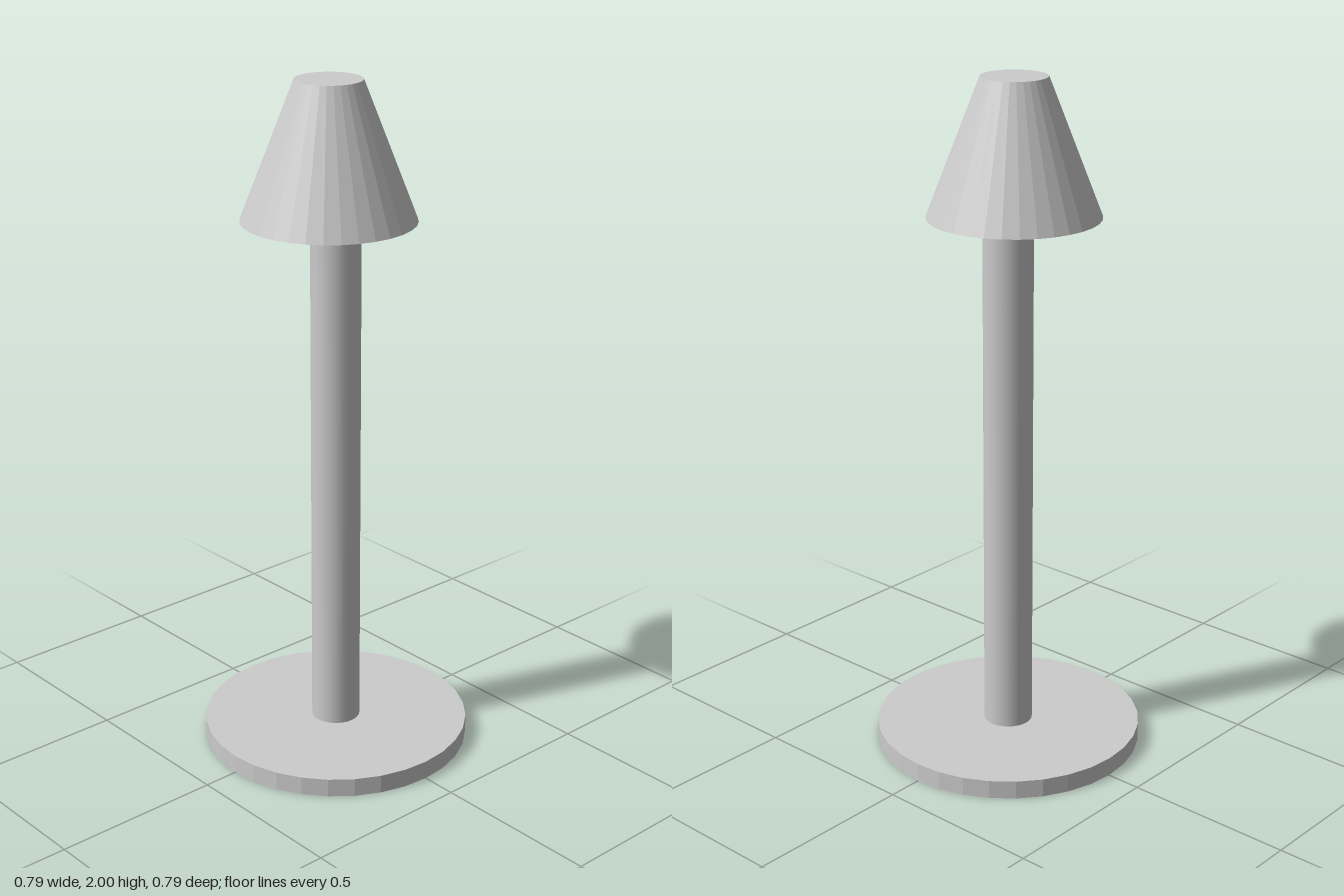
import * as THREE from 'three';

export function createModel() {
  const model = new THREE.Group();
  model.name = 'lamp';
  const sides = 32;
  const baseHeight = 0.055, poleRadius = 0.072;
  const shadeBottom = 1.607, shadeRadius = 0.248, shadeX = -0.025;
  const flat = new THREE.MeshStandardMaterial({ color: 0xcccccc, flatShading: true, side: THREE.DoubleSide });
  const smooth = new THREE.MeshStandardMaterial({ color: 0xcccccc, side: THREE.DoubleSide });

  const add = (name, geometry, material, x = 0, y = 0) => {
    const mesh = new THREE.Mesh(geometry, material);
    mesh.name = name;
    mesh.position.set(x, y, 0);
    model.add(mesh);
  };

  // Lathed thin shell from [radius, height] pairs
  const shell = (points) =>
    new THREE.LatheGeometry(points.map(([r, y]) => new THREE.Vector2(r, y)), sides);

  // Shallow base, open underneath, with a hole in its top for the pole
  add('base', shell([[0.395, 0], [0.395, baseHeight], [poleRadius, baseHeight]]), flat);

  // Hollow pole rising from the top of the base
  const poleHeight = shadeBottom - baseHeight;
  add('pole', new THREE.CylinderGeometry(poleRadius, poleRadius, poleHeight, sides, 1, true),
    smooth, 0, baseHeight + poleHeight / 2);

  // Tapered shade with a closed top, set slightly off the pole's axis
  add('shade', shell([[shadeRadius, shadeBottom], [0.095, 2], [0, 2]]), flat, shadeX);

  // Underside of the shade, closing the gap around the pole
  const ring = new THREE.Shape().absarc(shadeX, 0, shadeRadius, 0, Math.PI * 2);
  ring.holes.push(new THREE.Path().absarc(0, 0, poleRadius, 0, Math.PI * 2, true));
  const underside = new THREE.ShapeGeometry(ring, sides / 2).rotateX(Math.PI / 2);
  add('shadeUnderside', underside, flat, 0, shadeBottom);

  return model;
}
